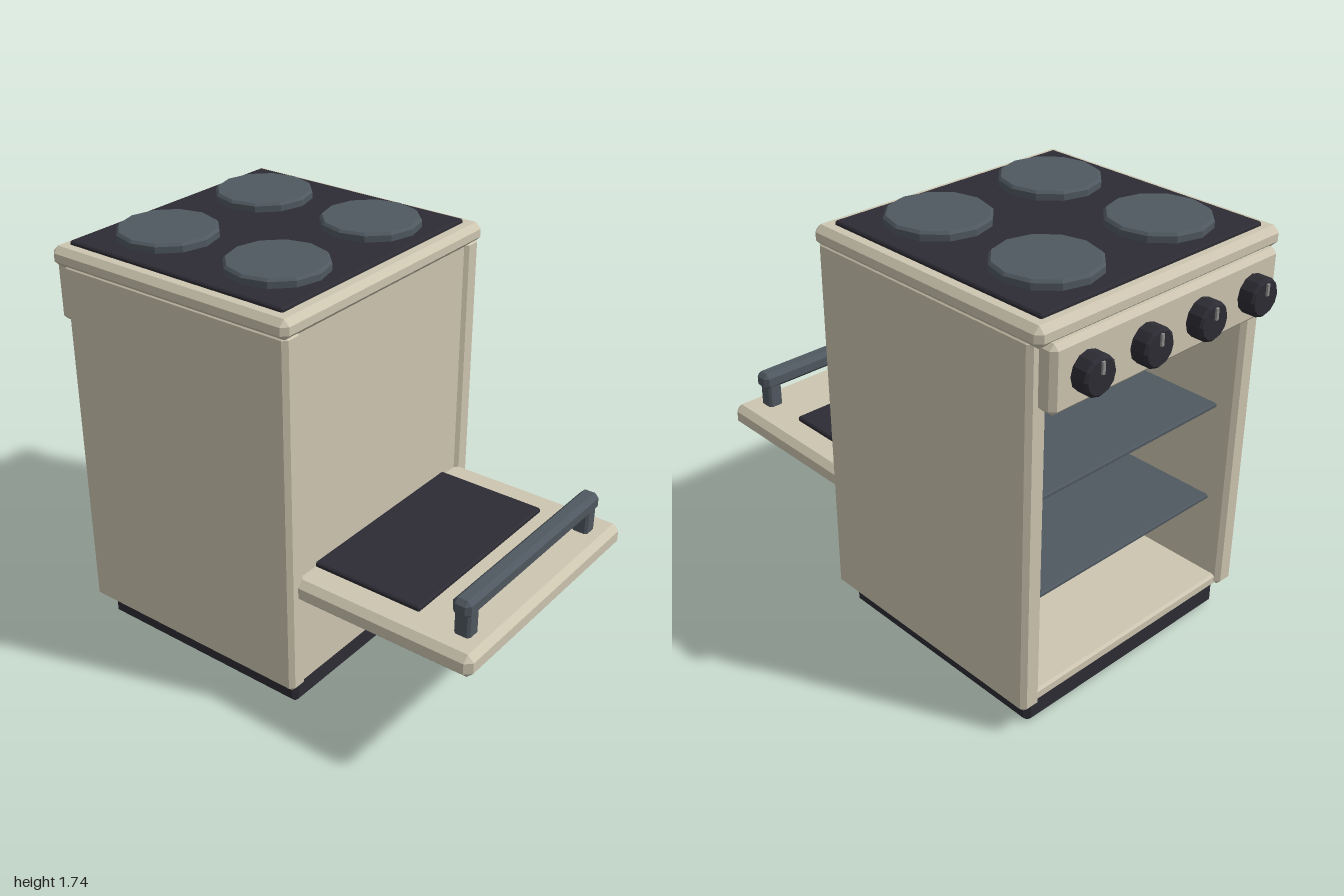
import * as THREE from 'three';
import { ConvexGeometry } from 'three/addons/geometries/ConvexGeometry.js';

const mat = (name, color) => {
  const m = new THREE.MeshStandardMaterial({ color });
  m.name = name;
  return m;
};

// Box with chamfered edges, given by its extents on each axis
function chamferBox([x0, x1], [y0, y1], [z0, z1], c) {
  const h = [(x1 - x0) / 2, (y1 - y0) / 2, (z1 - z0) / 2];
  const points = [];
  for (const sx of [-1, 1]) for (const sy of [-1, 1]) for (const sz of [-1, 1]) {
    for (let axis = 0; axis < 3; axis++) {
      const p = [sx, sy, sz].map((s, i) => s * (h[i] - (i === axis ? 0 : c)));
      points.push(new THREE.Vector3(...p));
    }
  }
  const g = new ConvexGeometry(points);
  g.translate((x0 + x1) / 2, (y0 + y1) / 2, (z0 + z1) / 2);
  return g;
}

// Low-poly disc with a chamfered upper rim, standing on y = 0
function chamferDisc(radius, height, c, sides) {
  const profile = [[0, 0], [radius, 0], [radius, height - c], [radius - c, height], [0, height]];
  const g = new THREE.LatheGeometry(profile.map(p => new THREE.Vector2(...p)), sides).toNonIndexed();
  g.computeVertexNormals();
  return g;
}

export function createModel() {
  const cream = mat('cream enamel', 0xcdc5b0);
  const black = mat('black', 0x2d2c34);
  const slate = mat('slate metal', 0x4f5860);
  const grey = mat('knob mark grey', 0x8c8c8a);

  const model = new THREE.Group();
  model.name = 'cooker';
  const add = (name, geometry, material, parent = model) => {
    const mesh = new THREE.Mesh(geometry, material);
    mesh.name = name;
    parent.add(mesh);
    return mesh;
  };
  const box = (name, x, y, z, c, material, parent) =>
    add(name, chamferBox(x, y, z, c), material, parent);

  // Carcass: plinth, floor, panel, two sides, worktop; open at the back
  box('plinth', [-0.54, 0.54], [0, 0.12], [-0.81, 0.205], 0.02, black);
  box('floor', [-0.53, 0.53], [0.11, 0.16], [-0.83, 0.21], 0.01, cream);
  box('frontPanel', [-0.53, 0.53], [0.11, 1.62], [0.17, 0.225], 0.01, cream);
  for (const s of [-1, 1]) {
    box('sidePanel', s < 0 ? [-0.6, -0.51] : [0.51, 0.6], [0.11, 1.63], [-0.85, 0.24], 0.018, cream);
  }
  box('worktop', [-0.612, 0.612], [1.61, 1.69], [-0.9, 0.25], 0.024, cream);

  // Hob with four burners
  box('hob', [-0.553, 0.553], [1.68, 1.705], [-0.85, 0.19], 0.006, black);
  for (const x of [-0.28, 0.28]) for (const z of [-0.6, -0.06]) {
    add('burner', chamferDisc(0.2, 0.04, 0.01, 12), slate).position.set(x, 1.7, z);
  }

  // Shelves inside
  for (const y of [0.5, 0.92]) {
    box('shelf', [-0.515, 0.515], [y, y + 0.02], [-0.76, 0.18], 0.005, slate);
  }

  // Control panel with four knobs on the open side
  box('controlPanel', [-0.57, 0.57], [1.37, 1.625], [-0.925, -0.84], 0.02, cream);
  for (const x of [-0.42, -0.14, 0.14, 0.42]) {
    const knob = new THREE.Group();
    knob.name = 'knob';
    knob.position.set(x, 1.495, -0.92);
    knob.rotation.x = -Math.PI / 2;
    add('knobBody', chamferDisc(0.074, 0.072, 0.01, 12), black, knob);
    const mark = add('knobMark', new THREE.BoxGeometry(0.012, 0.009, 0.045), grey, knob);
    mark.position.set(0, 0.0755, 0.035);
    // Keep the mark on the upper half of the knob face
    if (mark.position.clone().applyEuler(knob.rotation).y < 0) mark.position.z *= -1;
    model.add(knob);
  }

  // Lowered door with glass and handle
  const door = new THREE.Group();
  door.name = 'door';
  model.add(door);
  box('doorSlab', [-0.555, 0.555], [0.515, 0.612], [-0.24, 1], 0.026, cream, door);
  box('doorGlass', [-0.43, 0.43], [0.605, 0.63], [0.06, 0.7], 0.006, black, door);
  box('handleBar', [-0.472, 0.472], [0.697, 0.77], [0.857, 0.935], 0.018, slate, door);
  for (const s of [-1, 1]) {
    box('handlePost', s < 0 ? [-0.455, -0.39] : [0.39, 0.455], [0.6, 0.72], [0.862, 0.93], 0.01, slate, door);
  }
  return model;
}
